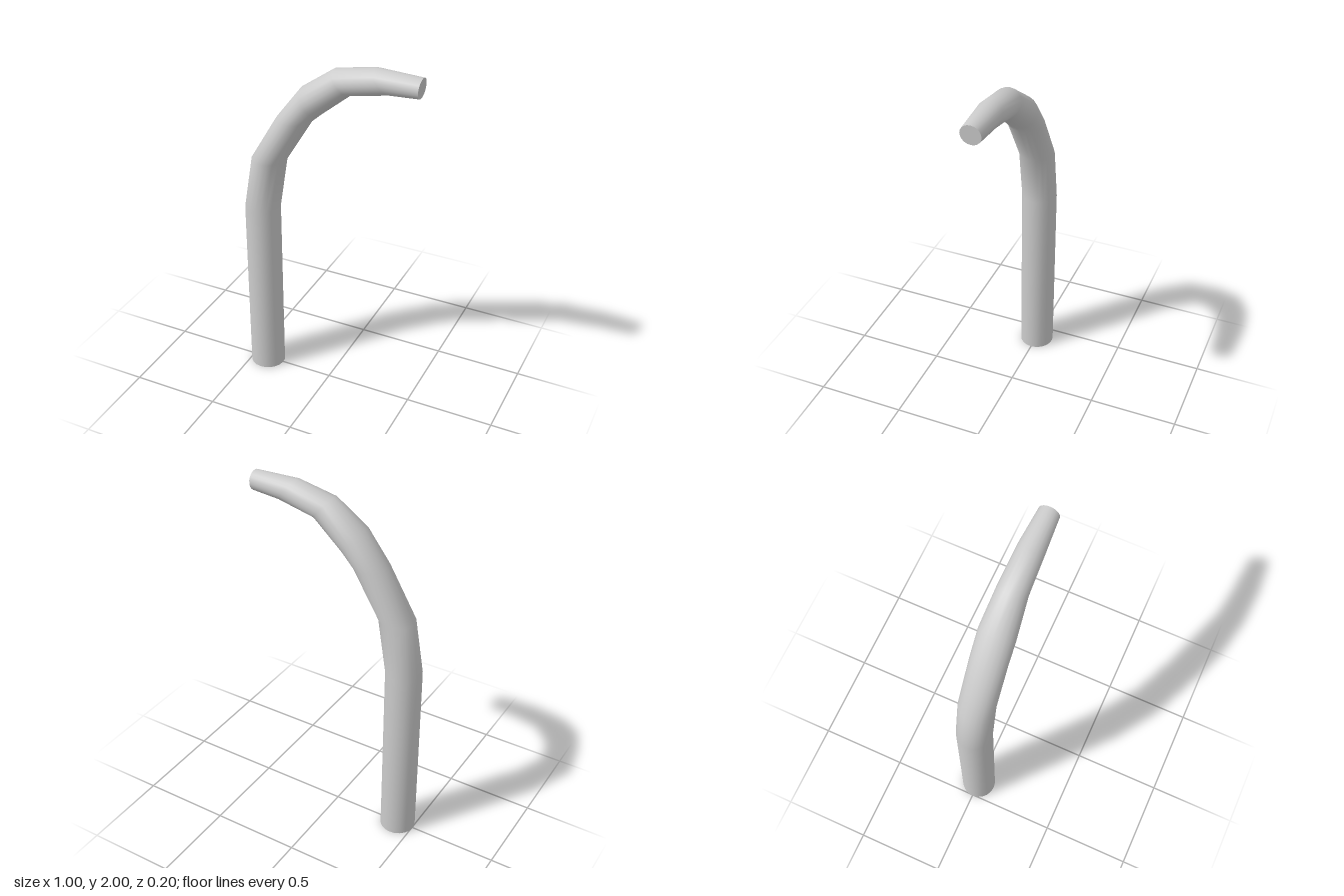
import * as THREE from 'three';

const SIDES = 20;

// Each ring: [outer x, outer y, inner x, inner y, half width in z]
const RINGS = [
  [-0.505, 0, -0.305, 0, 0.098],
  [-0.505, 1.06, -0.305, 1.07, 0.098],
  [-0.452, 1.37, -0.257, 1.375, 0.098],
  [-0.294, 1.64, -0.098, 1.64, 0.098],
  [-0.155, 1.825, -0.05, 1.685, 0.098],
  [0.025, 1.955, 0.125, 1.833, 0.08],
  [0.246, 2.0, 0.336, 1.876, 0.071],
  [0.5, 1.993, 0.493, 1.885, 0.056],
];

function ringPoints([ox, oy, ix, iy, hz]) {
  const points = [];
  for (let j = 0; j < SIDES; j++) {
    const a = (j / SIDES) * Math.PI * 2;
    const c = Math.cos(a) / 2;
    points.push([
      (ox + ix) / 2 + c * (ox - ix),
      (oy + iy) / 2 + c * (oy - iy),
      Math.sin(a) * hz,
    ]);
  }
  return points;
}

function makeGeometry(points, index) {
  const geometry = new THREE.BufferGeometry();
  geometry.setAttribute('position', new THREE.Float32BufferAttribute(points.flat(), 3));
  geometry.setIndex(index);
  geometry.computeVertexNormals();
  return geometry;
}

// Tapered bent tube lofted through the rings
function tubeGeometry() {
  const index = [];
  for (let i = 0; i < RINGS.length - 1; i++) {
    for (let j = 0; j < SIDES; j++) {
      const k = (j + 1) % SIDES;
      const a = i * SIDES + j, b = i * SIDES + k;
      index.push(a, b, b + SIDES, a, b + SIDES, a + SIDES);
    }
  }
  return makeGeometry(RINGS.flatMap(ringPoints), index);
}

// Flat disc closing one end
function capGeometry(ring, flip) {
  const index = [];
  for (let j = 1; j < SIDES - 1; j++) {
    index.push(0, flip ? j + 1 : j, flip ? j : j + 1);
  }
  return makeGeometry(ringPoints(ring), index);
}

export function createModel() {
  const group = new THREE.Group();
  group.name = 'bentPipe';
  const material = new THREE.MeshStandardMaterial({ color: 0xcccccc });
  const add = (name, geometry) => {
    const mesh = new THREE.Mesh(geometry, material);
    mesh.name = name;
    group.add(mesh);
  };
  add('curvedShaft', tubeGeometry());
  add('baseCap', capGeometry(RINGS[0], true));
  add('tipCap', capGeometry(RINGS[RINGS.length - 1], false));
  return group;
}
